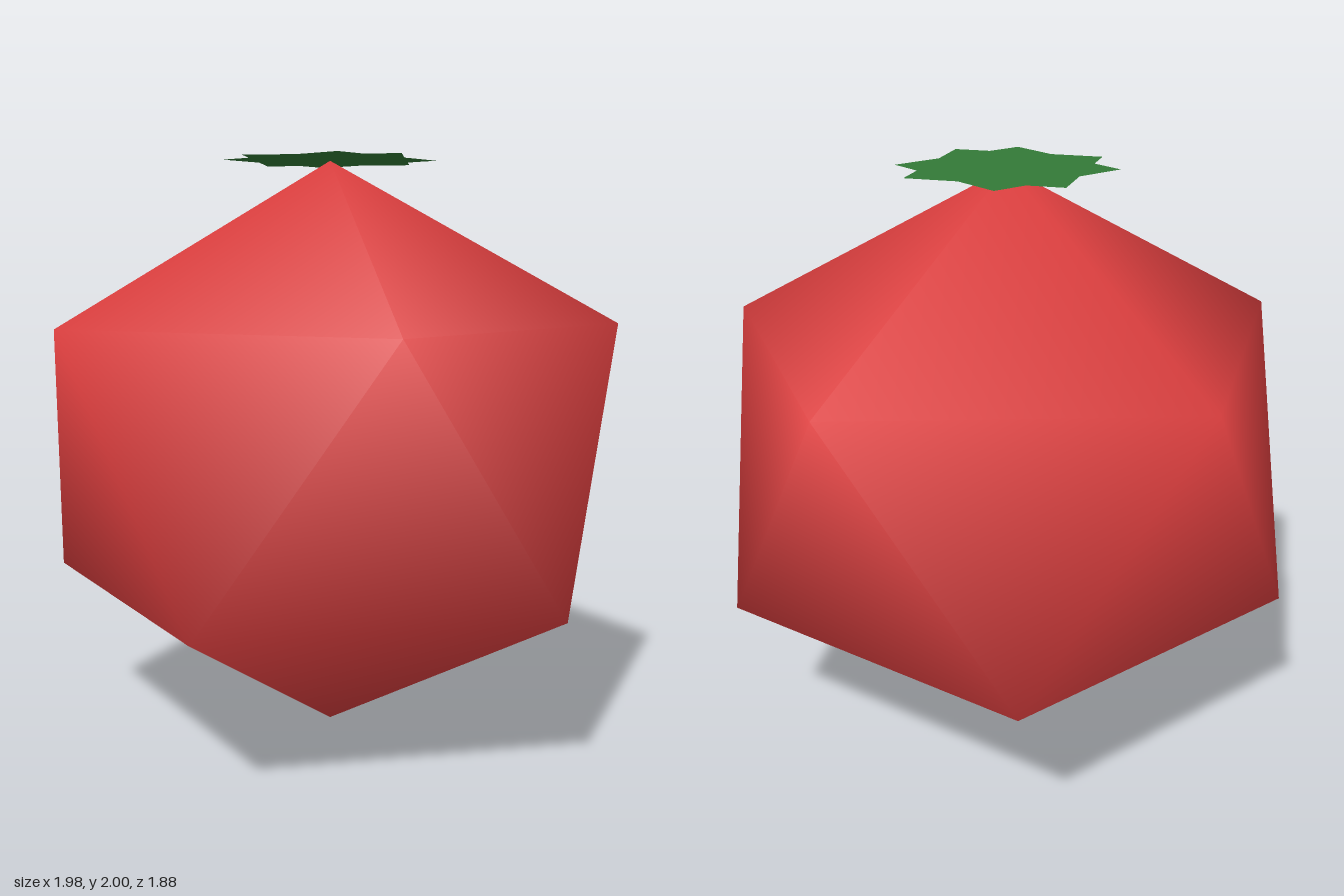
import * as THREE from 'three';

// Smooth-shaded twenty-sided fruit: two poles and two staggered rings of five
function bodyGeometry(radius, yBottom, yLow, yHigh, yTop) {
  const pos = [0, yTop, 0, 0, yBottom, 0];
  for (let i = 0; i < 5; i++) {
    const a = (i * 2 * Math.PI) / 5;
    const b = a + Math.PI / 5;
    pos.push(radius * Math.cos(a), yHigh, radius * Math.sin(a));
    pos.push(radius * Math.cos(b), yLow, radius * Math.sin(b));
  }
  const index = [];
  for (let i = 0; i < 5; i++) {
    const j = (i + 1) % 5;
    const u = 2 + 2 * i, l = u + 1, u2 = 2 + 2 * j, l2 = u2 + 1;
    index.push(0, u2, u, u, u2, l, l, u2, l2, 1, l, l2);
  }
  const geo = new THREE.BufferGeometry();
  geo.setAttribute('position', new THREE.Float32BufferAttribute(pos, 3));
  geo.setIndex(index);
  geo.computeVertexNormals();
  return geo;
}

// Flat eight-pointed leaf: the outline of two squares turned against each other
function leafGeometry(half) {
  const rad = THREE.MathUtils.degToRad;
  const tip = half * Math.SQRT2;
  const quarter = [
    [10, tip],
    [27.5, half / Math.cos(rad(27.5))],
    [45, tip],
    [72.5, half / Math.cos(rad(17.5))],
  ];
  const points = [];
  for (let q = 0; q < 4; q++) {
    for (const [deg, r] of quarter) {
      const a = rad(deg + 90 * q);
      points.push(new THREE.Vector2(r * Math.cos(a), r * Math.sin(a)));
    }
  }
  return new THREE.ShapeGeometry(new THREE.Shape(points)).rotateX(-Math.PI / 2);
}

export function createModel() {
  const group = new THREE.Group();
  group.name = 'tomato';

  const body = new THREE.Mesh(
    bodyGeometry(0.99, 0, 0.555, 1.447, 1.998),
    new THREE.MeshStandardMaterial({ color: 0xe04040 })
  );
  body.name = 'fruitBody';

  const leaf = new THREE.Mesh(
    leafGeometry(0.26),
    new THREE.MeshStandardMaterial({ color: 0x337a37, side: THREE.DoubleSide })
  );
  leaf.name = 'leafCrown';
  leaf.position.y = 2;

  group.add(body, leaf);
  return group;
}
